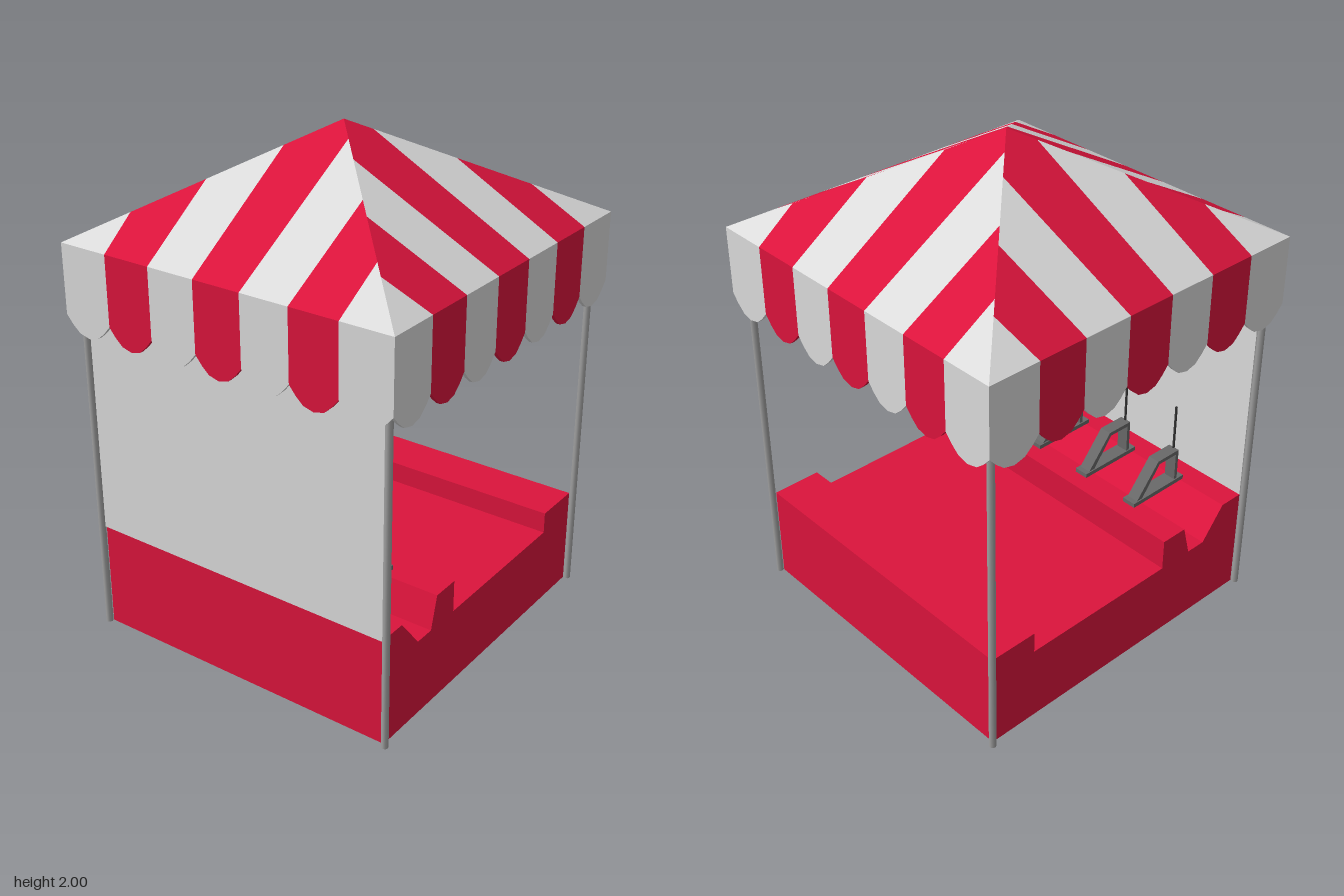
import * as THREE from 'three';

const mat = (name, color, side = THREE.FrontSide) => {
  const m = new THREE.MeshStandardMaterial({ color, side });
  m.name = name;
  return m;
};

export function createModel() {
  const red = mat('crimson', 0xdc143c, THREE.DoubleSide);
  const white = mat('off white', 0xdcdcdc, THREE.DoubleSide);
  const steel = mat('pole grey', 0xa0a0a0);
  const iron = mat('dark grey', 0x696969);
  const black = mat('rod black', 0x383838);

  const root = new THREE.Group();
  root.name = 'marketStall';
  const add = (parent, name, geo, material, x = 0, y = 0, z = 0) => {
    const mesh = new THREE.Mesh(geo, material);
    mesh.name = name;
    mesh.position.set(x, y, z);
    parent.add(mesh);
    return mesh;
  };
  const toShape = pts => new THREE.Shape(pts.map(p => new THREE.Vector2(...p)));
  // Extrude a (z, y) side profile across x, centred on x = 0
  const sideProfile = (shape, width) =>
    new THREE.ExtrudeGeometry(shape, { depth: width, bevelEnabled: false })
      .translate(0, 0, -width / 2).rotateY(-Math.PI / 2);

  // Counter with front trough, floor and back ledge
  const counter = toShape([
    [-0.663, 0], [0.663, 0], [0.663, 0.445], [0.56, 0.445], [0.455, 0.315],
    [0.37, 0.315], [0.335, 0.445], [0.22, 0.445], [0.22, 0.315],
    [-0.46, 0.315], [-0.46, 0.402], [-0.663, 0.402],
  ]);
  add(root, 'counter', sideProfile(counter, 1.304), red);

  // Front wall panel
  add(root, 'frontPanel', new THREE.BoxGeometry(1.304, 0.99, 0.008), white, 0, 0.93, 0.666);

  // Corner poles
  for (const x of [-0.664, 0.664])
    for (const z of [-0.674, 0.674])
      add(root, 'pole', new THREE.CylinderGeometry(0.014, 0.014, 1.6, 8), steel, x, 0.8, z);

  // Row of stands with upright rods
  const frame = toShape([[0.54, 0.46], [0.54, 0.602], [0.422, 0.602], [0.305, 0.46]]);
  frame.holes.push(new THREE.Path([[0.525, 0.465], [0.338, 0.465], [0.43, 0.586], [0.525, 0.586]]
    .map(p => new THREE.Vector2(...p))));
  const frameGeo = sideProfile(frame, 0.05);
  for (const x of [-0.4, -0.135, 0.135, 0.4]) {
    const stand = new THREE.Group();
    stand.name = 'stand';
    stand.position.x = x;
    add(stand, 'standBase', new THREE.BoxGeometry(0.06, 0.018, 0.286), iron, 0, 0.456, 0.43);
    add(stand, 'standFrame', frameGeo, iron);
    add(stand, 'rod', new THREE.CylinderGeometry(0.005, 0.005, 0.335, 6), black, 0, 0.63, 0.537);
    root.add(stand);
  }

  // Canopy: one striped side, repeated four times
  const H = 0.71, EAVE = 1.6, APEX = 2;
  const eave = [-H, -0.5, -0.3, -0.1, 0.1, 0.3, 0.5, H];
  const ridge = [-H, -0.535, -0.345, -0.15, 0.075, 0.29, 0.49, H]; // stripe ends on the hips
  const onHip = t => [t, APEX - (APEX - EAVE) * Math.abs(t) / H, Math.abs(t)];

  const roofStripe = k => {
    const poly = [[eave[k], EAVE, H], [eave[k + 1], EAVE, H], onHip(ridge[k + 1])];
    if (k === 3) poly.push([0, APEX, 0]);
    poly.push(onHip(ridge[k]));
    const pos = [];
    for (let i = 1; i < poly.length - 1; i++) pos.push(...poly[0], ...poly[i], ...poly[i + 1]);
    const geo = new THREE.BufferGeometry();
    geo.setAttribute('position', new THREE.Float32BufferAttribute(pos, 3));
    geo.computeVertexNormals();
    return geo;
  };

  // Scalloped flap hanging below one stripe
  const scallop = [[-1, 1.327], [-0.72, 1.293], [-0.42, 1.266], [0, 1.255],
    [0.42, 1.266], [0.72, 1.293], [1, 1.327]];
  const flap = k => {
    const mid = (eave[k] + eave[k + 1]) / 2, half = (eave[k + 1] - eave[k]) / 2;
    const pts = scallop.map(([u, y]) => [mid + u * half, y]);
    pts.push([eave[k + 1], EAVE], [eave[k], EAVE]);
    return new THREE.ExtrudeGeometry(toShape(pts), { depth: 0.015, bevelEnabled: false })
      .translate(0, 0, H - 0.015);
  };

  const canopy = new THREE.Group();
  canopy.name = 'canopy';
  canopy.scale.z = 0.72 / H;
  for (let s = 0; s < 4; s++) {
    const side = new THREE.Group();
    side.name = 'canopySide';
    side.rotation.y = s * Math.PI / 2;
    for (let k = 0; k < 7; k++) {
      const material = k % 2 ? red : white;
      add(side, 'roofStripe', roofStripe(k), material);
      add(side, 'valanceFlap', flap(k), material);
    }
    canopy.add(side);
  }
  root.add(canopy);
  return root;
}
